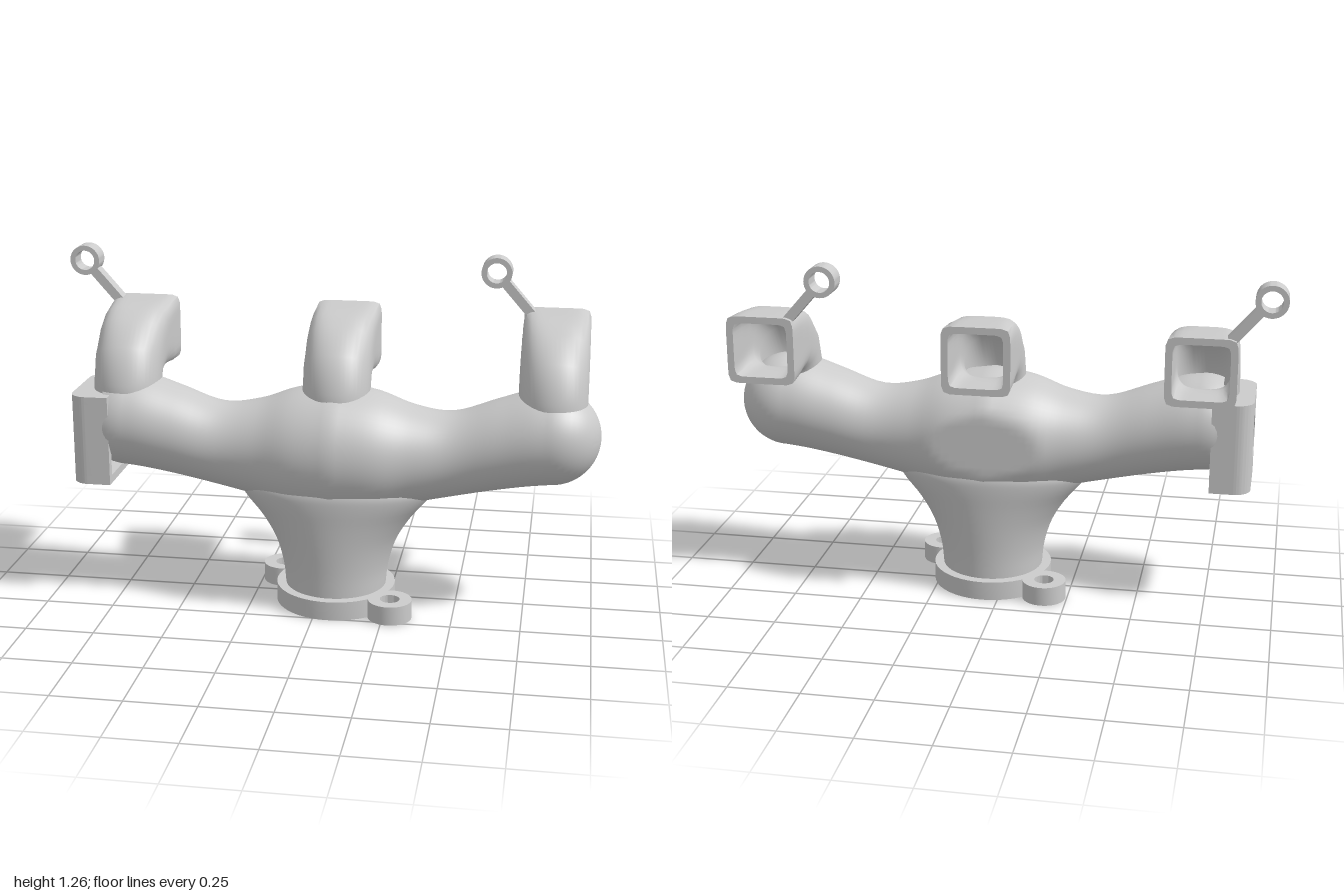
import * as THREE from 'three';
import { toCreasedNormals } from 'three/addons/utils/BufferGeometryUtils.js';

const CX = 0.055, CZ = 0.04; // axis of the central stem
const PITCH = 0.775;         // spacing of the three outlets
const material = new THREE.MeshStandardMaterial({ color: 0xcccccc, side: THREE.DoubleSide });

function add(parent, name, geometry) {
  const mesh = new THREE.Mesh(geometry, material);
  mesh.name = name;
  parent.add(mesh);
  return mesh;
}

// Skin closed rings of points, ordered counterclockwise about the direction of travel
function loft(rings, crease = 0.7) {
  const n = rings[0].length, index = [];
  for (let i = 0; i < rings.length - 1; i++) {
    for (let j = 0; j < n; j++) {
      const k = (j + 1) % n, a = i * n + j, b = i * n + k;
      index.push(a, b, a + n, b, b + n, a + n);
    }
  }
  const g = new THREE.BufferGeometry().setFromPoints(rings.flat());
  g.setIndex(index);
  return toCreasedNormals(g, crease);
}

function ring(n, point) {
  return Array.from({ length: n }, (_, j) => {
    const a = (j / n) * Math.PI * 2;
    return point(Math.cos(a), Math.sin(a));
  });
}

function extrude(shape, depth) {
  const g = new THREE.ExtrudeGeometry(shape, { depth, bevelEnabled: false, curveSegments: 24 });
  return toCreasedNormals(g, 0.6);
}

function washer(outer, inner, depth) {
  const s = new THREE.Shape().absarc(0, 0, outer, 0, Math.PI * 2);
  s.holes.push(new THREE.Path().absarc(0, 0, inner, 0, Math.PI * 2, true));
  return extrude(s, depth);
}

// Long swelling body: distance from the middle, centre height, radius
function bodyGeometry() {
  const half = new THREE.CatmullRomCurve3([
    [0, 0.59, 0.24], [0.15, 0.585, 0.22], [0.28, 0.58, 0.18], [0.42, 0.587, 0.156],
    [0.58, 0.63, 0.165], [0.7, 0.66, 0.174], [PITCH, 0.67, 0.175],
  ].map((p) => new THREE.Vector3(...p))).getPoints(30);
  for (let i = 1; i <= 12; i++) {
    const a = (i / 12) * Math.PI / 2;
    half.push(new THREE.Vector3(PITCH + 0.175 * Math.sin(a), 0.67, 0.175 * Math.cos(a) + 1e-4));
  }
  const left = half.slice(1).reverse().map((p) => new THREE.Vector3(-p.x, p.y, p.z));
  // The end inside the socket is open; the far end is a dome
  const stations = [...left.filter((p) => p.x > -0.86), ...half];
  return loft(stations.map((p) => ring(56, (c, s) =>
    // flattened at the back of the swelling
    new THREE.Vector3(CX + p.x, p.y + p.z * c, Math.max(-0.165, CZ + p.z * s)))));
}

// Flared stem: height, half width, half depth
function stemGeometry() {
  const profile = new THREE.CatmullRomCurve3([
    [0.185, 0.06, 0.185], [0.195, 0.15, 0.187], [0.225, 0.25, 0.192], [0.275, 0.335, 0.197],
    [0.345, 0.42, 0.202], [0.36, 0.455, 0.2], [0.34, 0.5, 0.185],
  ].map((p) => new THREE.Vector3(...p))).getPoints(24);
  return loft(profile.map((p) => ring(56, (c, s) =>
    new THREE.Vector3(CX + p.x * s, p.y, CZ + p.z * c))));
}

// Elbow that turns from a round root to a rounded square mouth
function outletGeometry() {
  // outer z, outer y, inner z, inner y, squareness
  const sections = [
    [0.165, 0.77, -0.075, 0.77, 2], [0.165, 0.82, -0.08, 0.785, 2],
    [0.11, 0.95, -0.09, 0.8, 2.3], [0, 1.03, -0.115, 0.813, 3.2],
    [-0.085, 1.055, -0.15, 0.82, 4.5], [-0.18, 1.062, -0.2, 0.82, 7],
    [-0.28, 1.065, -0.28, 0.82, 10],
  ];
  const cut = ([oz, oy, iz, iy, n], k) => ring(48, (c, s) => {
    const f = k / Math.pow(Math.abs(c) ** n + Math.abs(s) ** n, 1 / n);
    return new THREE.Vector3(0.1225 * f * s,
      (oy + iy) / 2 + (oy - iy) / 2 * f * c, (oz + iz) / 2 + (oz - iz) / 2 * f * c);
  });
  const outside = sections.map((s) => cut(s, 1));
  const lining = sections.map((s) => cut(s, 0.8)).reverse();
  return loft([...outside, ...lining], 0.75);
}

// Eyelet on a slanted arm
function eyelet() {
  const g = new THREE.Group();
  g.name = 'eyelet';
  add(g, 'eyeletRing', washer(0.056, 0.037, 0.07)).position.set(-0.225, 1.2, -0.28);
  const from = new THREE.Vector2(-0.19, 1.16), to = new THREE.Vector2(-0.085, 1.04);
  const arm = add(g, 'eyeletArm', new THREE.BoxGeometry(from.distanceTo(to), 0.034, 0.05));
  arm.position.set((from.x + to.x) / 2, (from.y + to.y) / 2, -0.236);
  arm.rotation.z = Math.atan2(to.y - from.y, to.x - from.x);
  return g;
}

// Hollow box with two rounded edges and a round port
function socket() {
  const g = new THREE.Group();
  g.name = 'sideSocket';
  const h = 0.165, r = 0.06, w = 0.03, x0 = -0.9, x1 = -0.755;
  const upright = (shape, y, height) => {
    const m = add(g, 'socketWall', extrude(shape, height));
    m.rotation.x = -Math.PI / 2;
    m.position.set(0, y, CZ);
  };
  for (const s of [1, -1]) {
    const wall = new THREE.Shape();
    wall.moveTo(x1, s * h);
    wall.lineTo(x0 + r, s * h);
    wall.absarc(x0 + r, s * (h - r), r, s * Math.PI / 2, s * Math.PI, s < 0);
    wall.lineTo(x0 + w, s * (h - r));
    wall.lineTo(x0 + r, s * (h - w));
    wall.lineTo(x1, s * (h - w));
    upright(wall, 0.455, 0.33);
  }
  const lid = new THREE.Shape();
  lid.moveTo(x1, -h);
  lid.lineTo(x1, h);
  lid.lineTo(x0 + r, h);
  lid.absarc(x0 + r, h - r, r, Math.PI / 2, Math.PI, false);
  lid.lineTo(x0, r - h);
  lid.absarc(x0 + r, r - h, r, Math.PI, Math.PI * 1.5, false);
  upright(lid, 0.455, w);
  upright(lid, 0.785 - w, w);

  const plate = new THREE.Shape([[r - h, -h], [h - r, -h], [h - r, h], [r - h, h]]
    .map((p) => new THREE.Vector2(...p)));
  plate.holes.push(new THREE.Path().absarc(0, 0, 0.085, 0, Math.PI * 2, true));
  const port = add(g, 'socketPort', extrude(plate, w));
  port.rotation.y = Math.PI / 2;
  port.position.set(x0, 0.62, CZ);
  return g;
}

// Base flange with two bolt ears
function flange() {
  const g = new THREE.Group();
  g.name = 'baseFlange';
  const disc = (name, x, z, outer, inner) => {
    const m = add(g, name, washer(outer, inner, 0.07));
    m.rotation.x = -Math.PI / 2;
    m.position.set(x, 0, z);
  };
  disc('flangeRing', CX, CZ, 0.22, 0.135);
  for (const s of [1, -1]) disc('boltEar', CX + s * 0.22, CZ + s * 0.153, 0.08, 0.036);
  return g;
}

export function createModel() {
  const model = new THREE.Group();
  model.name = 'manifold';
  add(model, 'body', bodyGeometry());
  add(model, 'stem', stemGeometry());
  const bore = add(model, 'stemBore', new THREE.CylinderGeometry(0.135, 0.135, 0.45, 48, 1, true));
  bore.position.set(CX, 0.225, CZ);
  model.add(flange(), socket());

  // Three outlets; the outer two carry eyelets
  const elbow = outletGeometry();
  for (const i of [-1, 0, 1]) {
    const outlet = new THREE.Group();
    outlet.name = 'outlet';
    outlet.position.x = CX + i * PITCH;
    add(outlet, 'outletElbow', elbow);
    if (i) outlet.add(eyelet());
    model.add(outlet);
  }
  return model;
}
